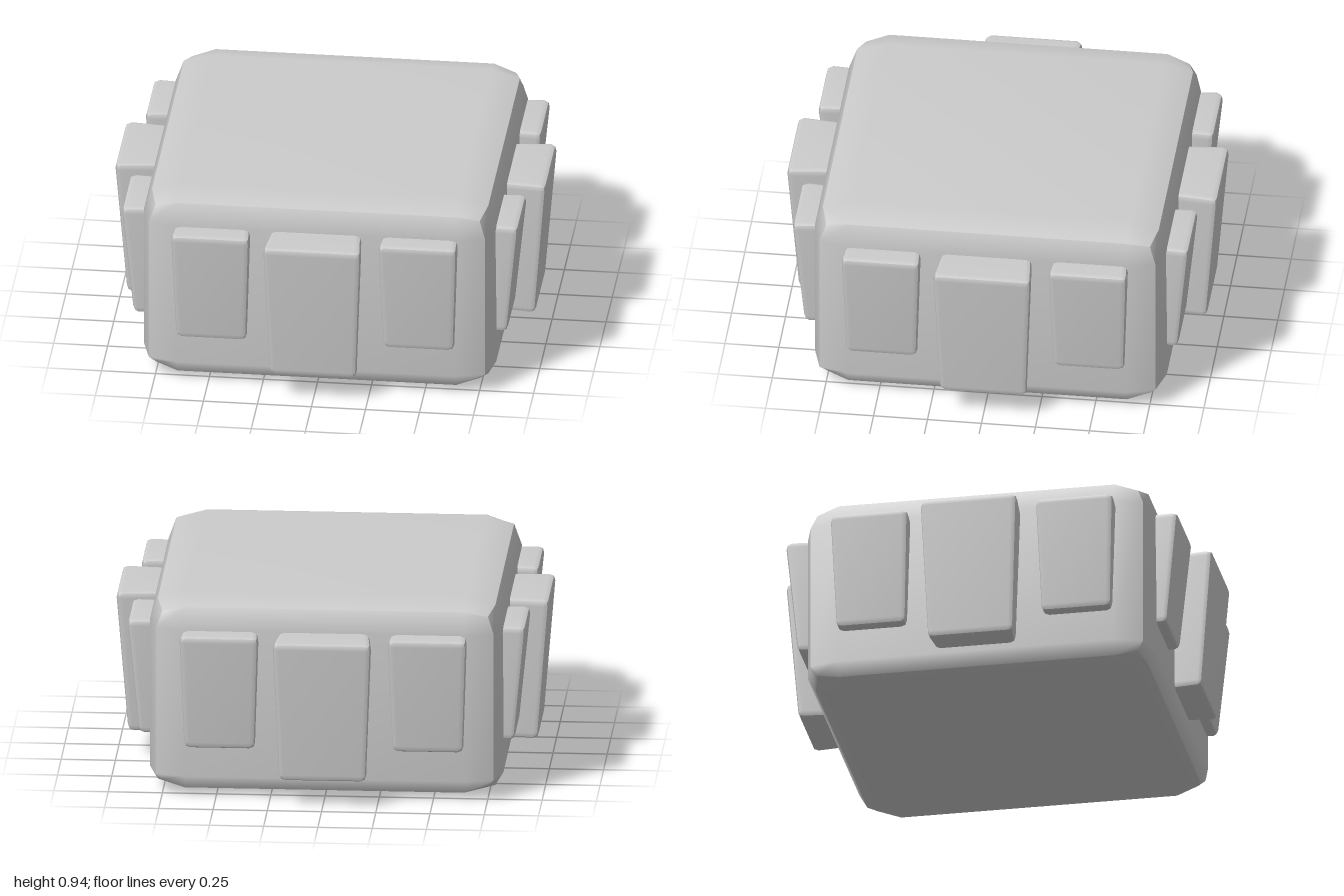
import * as THREE from 'three';

const material = new THREE.MeshStandardMaterial({ color: 0xcccccc });

// Soft-edged box: each face is a 3x3 grid whose rim is drawn inwards at edges and corners.
// rim = distance of inner grid lines from the faces [x, yBottom, yTop, z]
function softBox(half, rim, edgePull, cornerPull) {
  const geo = new THREE.BoxGeometry(2, 2, 2, 3, 3, 3);
  const pos = geo.attributes.position;
  for (let i = 0; i < pos.count; i++) {
    const p = [pos.getX(i), pos.getY(i), pos.getZ(i)];
    const outer = p.filter((v) => Math.abs(v) > 0.9).length;
    const pull = [0, 0, edgePull, cornerPull][outer];
    const q = p.map((v, axis) => {
      const inset = axis === 0 ? rim[0] : axis === 2 ? rim[3] : v < 0 ? rim[1] : rim[2];
      return Math.sign(v) * (half[axis] - (Math.abs(v) > 0.9 ? pull : inset));
    });
    pos.setXYZ(i, ...q);
  }
  geo.computeVertexNormals();
  return geo;
}

// Wedge-shaped plate, wider and further out at the top
function plateGeometry(width, bottom, topOut, bottomOut, narrow) {
  const top = 0.8, back = 0.7;
  const h = (top - bottom) / 2, d = (topOut - back) / 2;
  const geo = softBox([width / 2, h, d], [0.03, 0.03, 0.03, 0.03], 0.008, 0.014);
  const pos = geo.attributes.position;
  for (let i = 0; i < pos.count; i++) {
    const t = (h - pos.getY(i)) / (2 * h); // 0 at the top, 1 at the bottom
    const s = (pos.getZ(i) + d) / (2 * d); // 0 at the back, 1 at the front
    const taper = (1 - narrow * t) * (1 - 0.45 * (1 - s) * 2 * d);
    pos.setXYZ(i, pos.getX(i) * taper, pos.getY(i) + bottom + h,
      back + s * (topOut - back - t * (topOut - bottomOut)));
  }
  geo.computeVertexNormals();
  return geo;
}

export function createModel() {
  const model = new THREE.Group();
  model.name = 'paddedBlock';

  const add = (parent, name, geo, x = 0, y = 0) => {
    const mesh = new THREE.Mesh(geo, material);
    mesh.name = name;
    mesh.position.set(x, y, 0);
    parent.add(mesh);
  };

  // Main body
  add(model, 'body', softBox([0.815, 0.47, 0.815], [0.17, 0.1, 0.14, 0.17], 0.037, 0.065), 0, 0.47);

  // Three plates on each of the four sides
  const centre = plateGeometry(0.46, 0.125, 1.0, 0.945, 0.12);
  const flank = plateGeometry(0.37, 0.25, 0.92, 0.865, 0.11);
  ['front', 'left', 'back', 'right'].forEach((side, i) => {
    const group = new THREE.Group();
    group.name = side + 'Plates';
    group.rotation.y = (i * Math.PI) / 2;
    add(group, side + 'CentrePlate', centre);
    for (const s of [-1, 1]) add(group, side + (s < 0 ? 'FlankPlateA' : 'FlankPlateB'), flank, s * 0.48);
    model.add(group);
  });
  return model;
}
